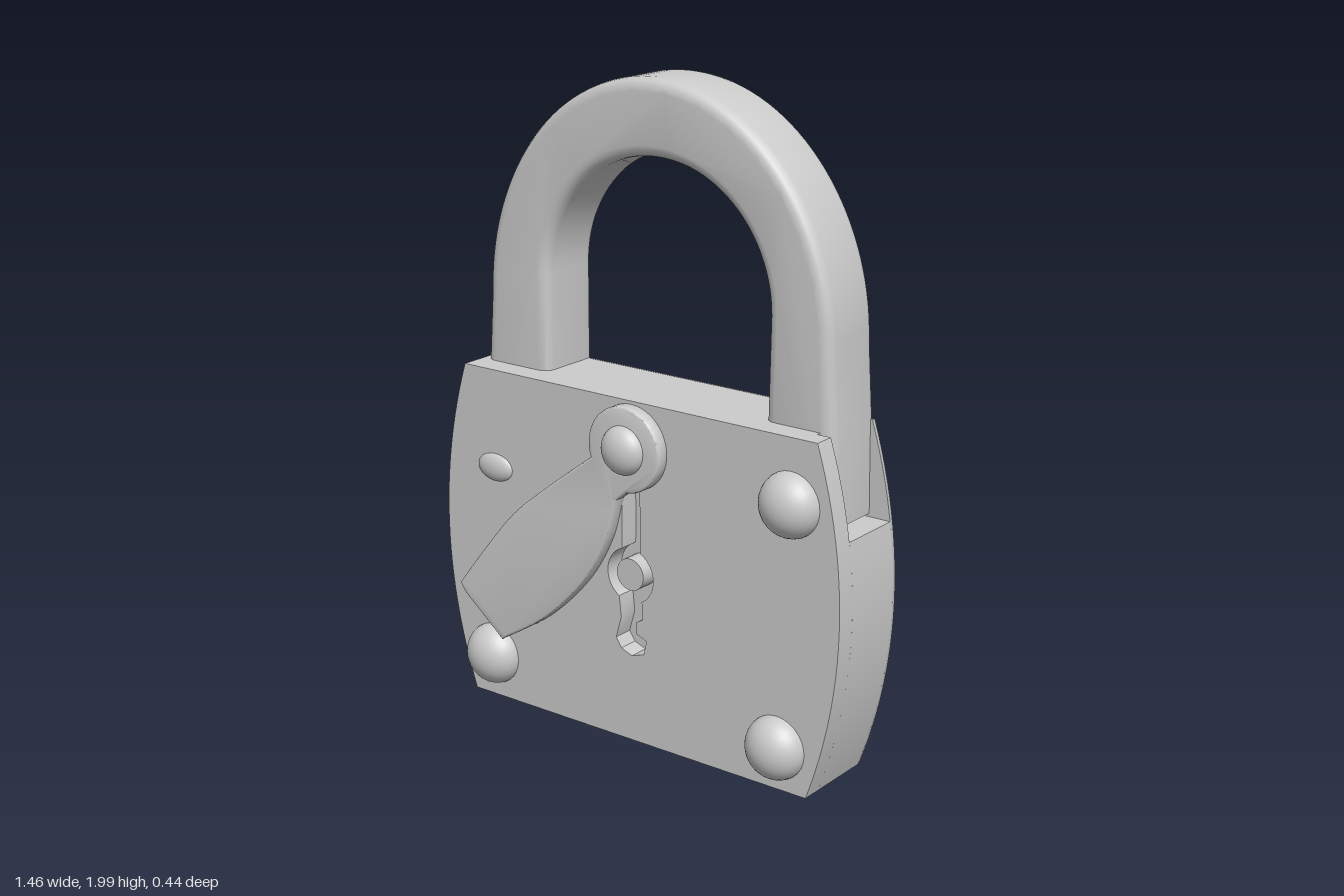
import * as THREE from 'three';
import { toCreasedNormals } from 'three/addons/utils/BufferGeometryUtils.js';

const material = new THREE.MeshStandardMaterial({ color: 0xcccccc });
const BOTTOM = 0.01, TOP = 1.08;
const FRONT = 0.14, PLATE_BACK = 0.075, CORE_BACK = -0.135, BACK = -0.185;

export function createModel() {
  const group = new THREE.Group();

  const add = (name, geometry, parent = group) => {
    const mesh = new THREE.Mesh(geometry, material);
    mesh.name = name;
    parent.add(mesh);
    return mesh;
  };

  // Extrudes a shape between two z planes, with an optional inward rounded edge
  const slab = (shape, z0, z1, bevel = 0, bevelDepth = bevel) => {
    const g = new THREE.ExtrudeGeometry(shape, {
      depth: z1 - z0 - 2 * bevelDepth, curveSegments: 32,
      bevelEnabled: bevel > 0, bevelSize: bevel, bevelThickness: bevelDepth,
      bevelOffset: -bevel, bevelSegments: 4,
    });
    g.translate(0, 0, z0 + bevelDepth);
    return g;
  };
  const crease = (g, angle = 0.6) => toCreasedNormals(g, angle);
  const v = ([x, y]) => new THREE.Vector2(x, y);

  // Barrel-sided body outline, optionally with a slot for the shackle foot
  const halfWidth = (y) => {
    const t = (y - BOTTOM) / (TOP - BOTTOM);
    return 0.63 + 0.015 * t + 0.37 * t * (1 - t);
  };
  const bodyShape = (slotted = false) => {
    const pts = [];
    const n = 24, rightTop = slotted ? 0.79 : TOP;
    for (let i = 0; i <= n; i++) {
      const y = BOTTOM + (rightTop - BOTTOM) * i / n;
      pts.push([halfWidth(y), y]);
    }
    if (slotted) pts.push([0.6, rightTop], [0.6, TOP]);
    for (let i = 0; i <= n; i++) {
      const y = TOP - (TOP - BOTTOM) * i / n;
      pts.push([-halfWidth(y), y]);
    }
    return new THREE.Shape(pts.map(v));
  };

  // Keyhole: narrow slot, round middle, notched foot
  const keyhole = new THREE.Path();
  keyhole.moveTo(-0.035, 0.83);
  keyhole.lineTo(-0.035, 0.64);
  keyhole.absarc(-0.005, 0.54, 0.085, 1.95, Math.PI + 1.05, false);
  [[-0.04, 0.4], [-0.06, 0.33], [-0.04, 0.3], [0, 0.285], [0.045, 0.3], [0.055, 0.345],
    [0.015, 0.36], [0.015, 0.395], [0.04, 0.41]].forEach(([x, y]) => keyhole.lineTo(x, y));
  keyhole.absarc(-0.005, 0.54, 0.085, -1.05, 1.1, false);
  keyhole.lineTo(0.03, 0.83);
  keyhole.closePath();

  // Body in three layers
  const frontShape = bodyShape();
  frontShape.holes.push(keyhole);
  add('frontPlate', crease(slab(frontShape, PLATE_BACK, FRONT)));
  add('bodyCore', crease(slab(bodyShape(true), CORE_BACK, PLATE_BACK)));

  // Back plate: only its rear edge is rounded, so the forward half is flattened
  const back = slab(bodyShape(), BACK, -0.075, 0.06, 0.05);
  const p = back.attributes.position;
  for (let i = 0; i < p.count; i++) p.setZ(i, Math.min(p.getZ(i), CORE_BACK));
  add('backPlate', crease(back));

  // Shackle with tapered legs and softened edges
  const arch = new THREE.Shape();
  arch.moveTo(0.645, 0.8);
  arch.lineTo(0.64, 1.08);
  arch.lineTo(0.625, 1.3);
  arch.absellipse(0.005, 1.3, 0.62, 0.7, 0, Math.PI, false, 0);
  arch.lineTo(-0.63, 1.08);
  arch.lineTo(-0.635, 0.8);
  arch.lineTo(-0.385, 0.8);
  arch.lineTo(-0.385, 1.38);
  arch.absellipse(0.015, 1.38, 0.4, 0.395, Math.PI, 0, true, 0);
  arch.lineTo(0.405, 0.8);
  arch.closePath();
  add('shackle', crease(slab(arch, -0.165, 0.06, 0.035), 0.7));

  // Swinging keyhole cover
  const cover = new THREE.Shape();
  cover.absarc(0, 0.94, 0.13, -1.5, Math.PI + 0.35, false);
  cover.splineThru([[-0.3, 0.76], [-0.43, 0.65], [-0.55, 0.51], [-0.655, 0.375]].map(v));
  cover.lineTo(-0.635, 0.345);
  cover.lineTo(-0.485, 0.225);
  cover.splineThru([[-0.31, 0.34], [-0.16, 0.49], [-0.07, 0.64], [-0.03, 0.78]].map(v));
  cover.closePath();
  add('keyholeCover', crease(slab(cover, FRONT - 0.01, 0.18, 0.008)));

  // Pin inside the keyhole
  const pin = new THREE.CylinderGeometry(0.05, 0.05, 0.07, 24);
  pin.rotateX(Math.PI / 2);
  add('keyPin', crease(pin)).position.set(-0.01, 0.54, 0.1);

  // Domed rivets: x, y, base z, radius across, radius up, height (negative faces the back)
  const dome = (name, x, y, z, rx, ry, height) => {
    const g = new THREE.SphereGeometry(1, 28, 10, 0, Math.PI * 2, 0, Math.PI / 2);
    g.rotateX(Math.sign(height) * Math.PI / 2);
    g.scale(rx, ry, Math.abs(height));
    add(name, g).position.set(x, y, z);
  };
  dome('coverRivet', 0, 0.94, 0.175, 0.075, 0.075, 0.05);
  [[0.56, 0.885], [0.525, 0.14], [-0.55, 0.15]]
    .forEach(([x, y]) => dome('frontRivet', x, y, FRONT - 0.005, 0.098, 0.098, 0.083));
  dome('frontStud', -0.53, 0.77, FRONT - 0.005, 0.07, 0.045, 0.025);

  [[0.55, 0.9], [0.53, 0.14], [-0.55, 0.15]]
    .forEach(([x, y]) => dome('backRivet', x, y, BACK + 0.005, 0.07, 0.07, -0.04));
  dome('backStud', -0.53, 0.77, BACK + 0.005, 0.08, 0.045, -0.03);
  dome('backPinEnd', 0.36, 0.49, BACK + 0.005, 0.055, 0.055, -0.03);
  dome('backPinEnd', -0.01, 0.52, BACK + 0.005, 0.05, 0.05, -0.035);

  return group;
}
